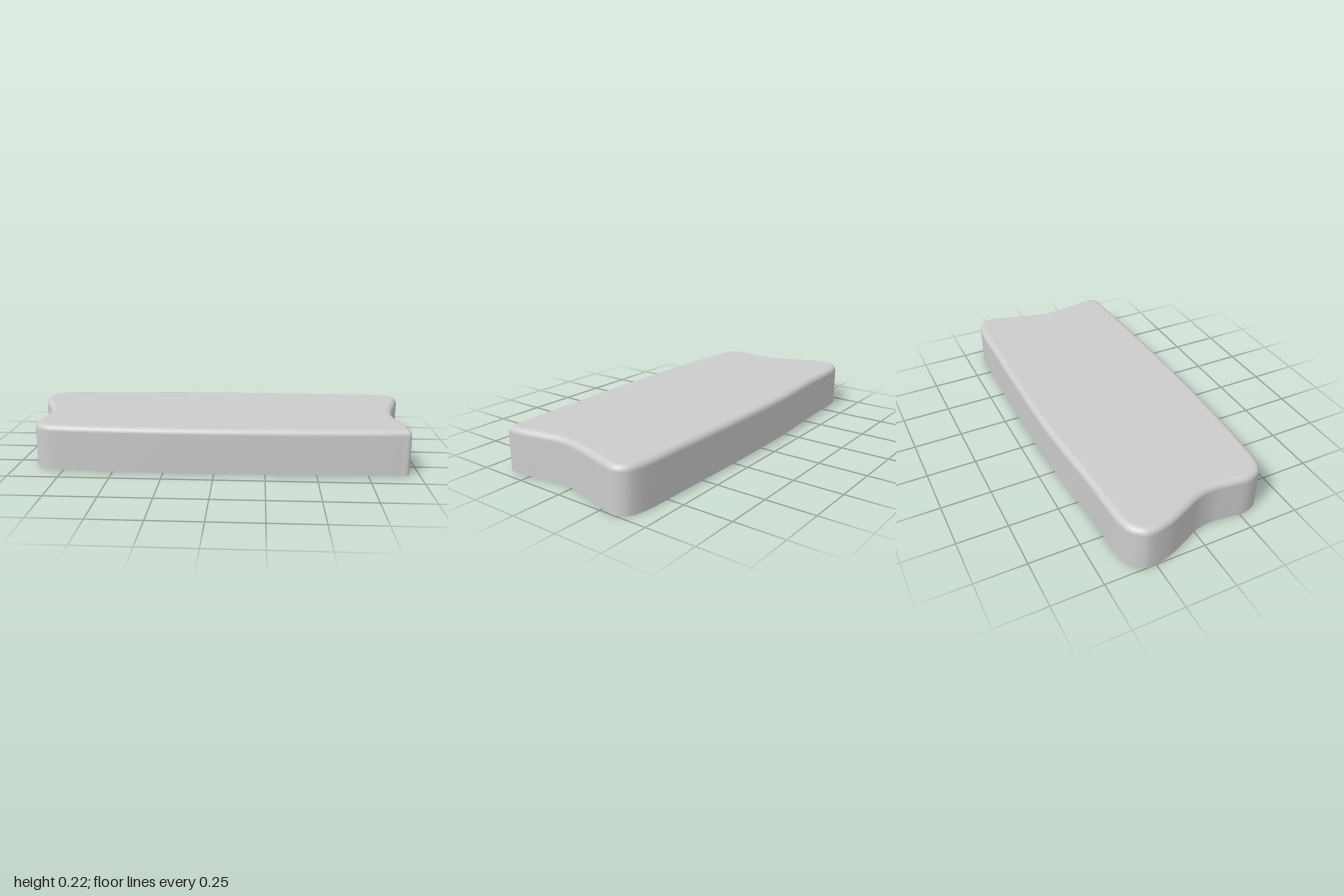
import * as THREE from 'three';

const HEIGHT = 0.225;
const BEVEL = 0.03;
const SAMPLES = 174;

// Outline seen from above, as x, z: back edge, left end, front edge, right end
const OUTLINE = [
  [-1.0, -0.29], [-0.975, -0.335], [-0.92, -0.37], [-0.6, -0.39], [-0.2, -0.417],
  [0.2, -0.421], [0.6, -0.415], [0.9, -0.405], [0.97, -0.38], [0.998, -0.33],
  [0.98, -0.24], [0.935, -0.08], [0.913, 0.05], [0.93, 0.19], [0.952, 0.31],
  [0.945, 0.378], [0.9, 0.386], [0.5, 0.405], [0, 0.415], [-0.4, 0.41],
  [-0.7, 0.395], [-0.83, 0.38], [-0.88, 0.35], [-0.908, 0.28], [-0.9, 0.19],
  [-0.89, 0.1], [-0.902, 0.02], [-0.945, -0.08], [-0.985, -0.18],
].map(([x, z]) => new THREE.Vector2(x, z));

// Smooth closed ring at height y, moved inward with mitred corners
function ring(inset, y) {
  const n = OUTLINE.length;
  const points = OUTLINE.map((p, i) => {
    const a = p.clone().sub(OUTLINE[(i + n - 1) % n]).normalize();
    const b = OUTLINE[(i + 1) % n].clone().sub(p).normalize();
    const inward = new THREE.Vector2(-a.y - b.y, a.x + b.x).normalize();
    const mitre = inset / Math.max(0.6, inward.dot(new THREE.Vector2(-a.y, a.x)));
    return new THREE.Vector3(p.x + inward.x * mitre, y, p.y + inward.y * mitre);
  });
  return new THREE.CatmullRomCurve3(points, true, 'centripetal').getPoints(SAMPLES).slice(0, SAMPLES);
}

export function createModel() {
  // Straight wall, then a quarter-round edge
  const rings = [ring(0, 0)];
  const steps = 6;
  for (let k = 0; k <= steps; k++) {
    const t = (k / steps) * Math.PI / 2;
    rings.push(ring(BEVEL * (1 - Math.cos(t)), HEIGHT - BEVEL + BEVEL * Math.sin(t)));
  }

  const index = [];
  for (let r = 0; r < rings.length - 1; r++) {
    for (let i = 0; i < SAMPLES; i++) {
      const j = (i + 1) % SAMPLES;
      const a = r * SAMPLES + i, b = r * SAMPLES + j;
      const c = b + SAMPLES, d = a + SAMPLES;
      index.push(a, d, b, b, d, c);
    }
  }

  // Flat top, sharing the last ring; the underside stays open
  const last = rings.length - 1;
  const contour = rings[last].map((p) => new THREE.Vector2(p.x, p.z));
  for (const [a, b, c] of THREE.ShapeUtils.triangulateShape(contour, [])) {
    const [p, q, s] = [contour[a], contour[b], contour[c]];
    const turn = (q.x - p.x) * (s.y - p.y) - (q.y - p.y) * (s.x - p.x);
    const tri = turn < 0 ? [a, b, c] : [a, c, b];
    index.push(...tri.map((v) => v + last * SAMPLES));
  }

  const geometry = new THREE.BufferGeometry().setFromPoints(rings.flat());
  geometry.setIndex(index);
  geometry.computeVertexNormals();

  const shell = new THREE.Mesh(
    geometry,
    new THREE.MeshStandardMaterial({ color: 0xcccccc, side: THREE.DoubleSide }),
  );
  shell.name = 'hollowSlabShell';

  const group = new THREE.Group();
  group.name = 'slab';
  group.add(shell);
  return group;
}
